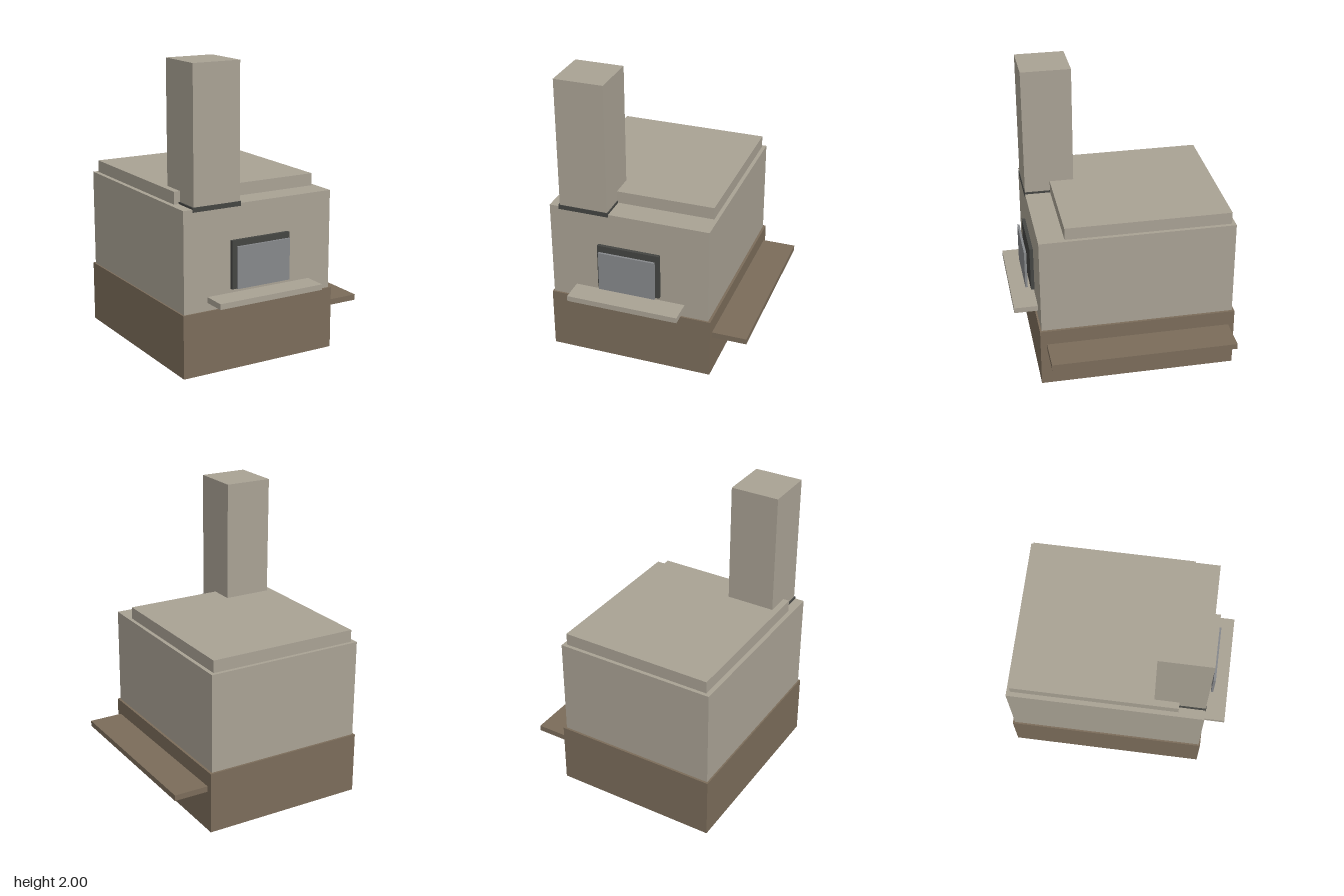
import * as THREE from 'three';

function material(name, color) {
  const m = new THREE.MeshStandardMaterial({ color });
  m.name = name;
  return m;
}

export function createModel() {
  const group = new THREE.Group();
  group.name = 'masonryOven';

  const plaster = material('plaster', 0xa9a294);
  const wood = material('brownBase', 0x7b6c5a);
  const iron = material('darkIron', 0x444542);
  const steel = material('greySteel', 0x86888b);

  // Adds a box given its extents along each axis
  const block = (name, mat, [x0, x1], [y0, y1], [z0, z1]) => {
    const mesh = new THREE.Mesh(new THREE.BoxGeometry(x1 - x0, y1 - y0, z1 - z0), mat);
    mesh.position.set((x0 + x1) / 2, (y0 + y1) / 2, (z0 + z1) / 2);
    mesh.name = name;
    group.add(mesh);
  };

  // Stacked masonry
  block('base', wood, [-0.688, 0.447], [0, 0.423], [-0.75, 0.6]);
  block('ovenBody', plaster, [-0.677, 0.43], [0.423, 1.097], [-0.735, 0.588]);
  block('topSlab', plaster, [-0.646, 0.404], [1.097, 1.18], [-0.71, 0.413]);

  // Chimney with its iron damper plate
  block('chimney', plaster, [-0.603, -0.269], [1.09, 2], [0.247, 0.588]);
  block('damperPlate', iron, [-0.612, -0.262], [1.079, 1.11], [0.24, 0.592]);

  // Firebox opening and the door held in front of it
  block('doorFrame', iron, [-0.339, 0.096], [0.543, 0.864], [0.58, 0.612]);
  block('door', steel, [-0.318, 0.075], [0.552, 0.831], [0.632, 0.648]);

  // Hearth shelf and side bench
  block('hearthShelf', plaster, [-0.508, 0.265], [0.477, 0.515], [0.58, 0.75]);
  block('sideBench', wood, [0.44, 0.685], [0.279, 0.318], [-0.709, 0.556]);

  return group;
}
